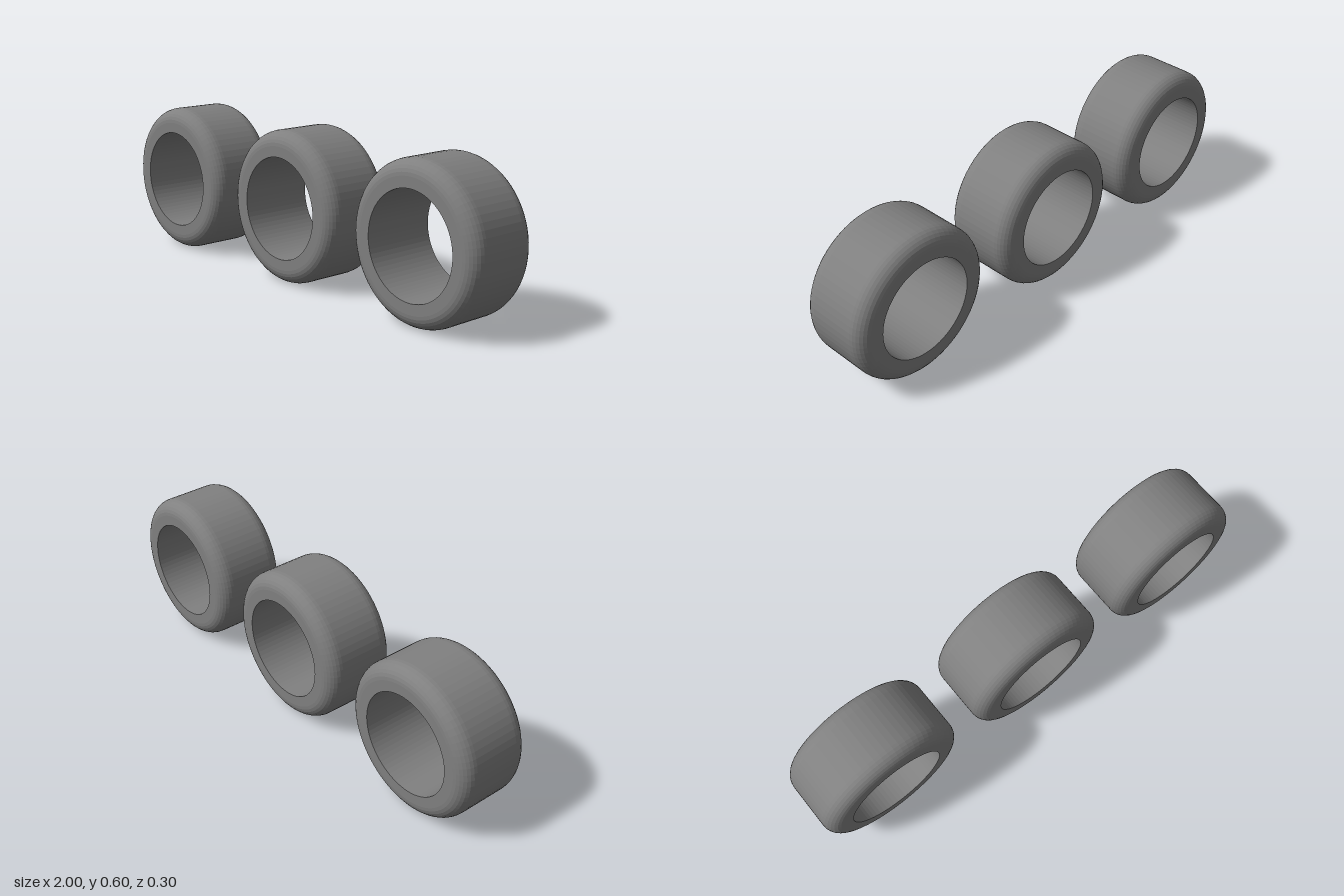
import * as THREE from 'three';

const OUTER = 0.3, INNER = 0.2, HALF_WIDTH = 0.15, FILLET = 0.058;
const SIDES = 72, FILLET_STEPS = 7;

// Closed ring section (radius, axis): bore, flat rims and rounded outer edges
function ringProfile() {
  const points = [new THREE.Vector2(INNER, -HALF_WIDTH)];
  for (const [side, start] of [[-1, -Math.PI / 2], [1, 0]]) {
    for (let i = 0; i <= FILLET_STEPS; i++) {
      const a = start + (i / FILLET_STEPS) * Math.PI / 2;
      points.push(new THREE.Vector2(
        OUTER - FILLET + FILLET * Math.cos(a),
        side * (HALF_WIDTH - FILLET) + FILLET * Math.sin(a)));
    }
  }
  points.push(new THREE.Vector2(INNER, HALF_WIDTH), new THREE.Vector2(INNER, -HALF_WIDTH));
  return points;
}

export function createModel() {
  const model = new THREE.Group();
  model.name = 'ringSet';
  const grey = new THREE.MeshStandardMaterial({ color: 0x808080, flatShading: true });
  grey.name = 'grey';

  // Lathe turned so that its axis runs front to back
  const geometry = new THREE.LatheGeometry(ringProfile(), SIDES);
  geometry.rotateX(Math.PI / 2);

  // Three equal rings in a row
  [['rightRing', -0.7], ['middleRing', 0], ['leftRing', 0.7]].forEach(([name, x]) => {
    const ring = new THREE.Mesh(geometry, grey);
    ring.name = name;
    ring.position.set(x, OUTER, 0);
    model.add(ring);
  });
  return model;
}
